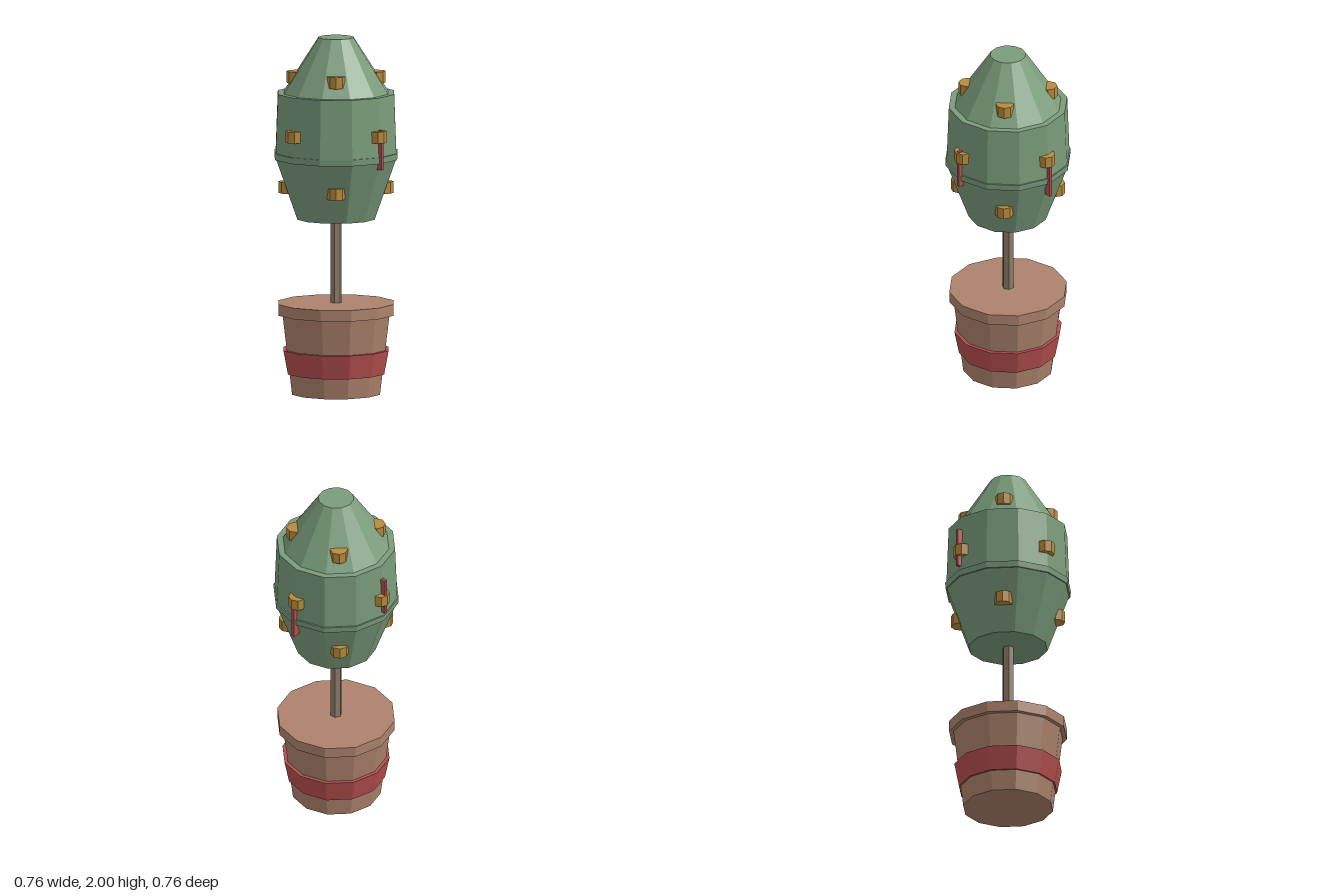
import * as THREE from 'three';

const material = (name, color) => {
  const m = new THREE.MeshStandardMaterial({ color, flatShading: true });
  m.name = name;
  return m;
};

export function createModel() {
  const group = new THREE.Group();
  const leaf = material('leaf green', 0x7a9c7b);
  const clay = material('clay', 0xac826c);
  const red = material('red', 0xb54e4e);
  const bark = material('bark', 0x8c7d69);
  const gold = material('gold', 0xb88b3c);

  // Upright tapered prism between two heights
  const frustum = (name, mat, rBottom, rTop, y0, y1, sides = 12) => {
    const mesh = new THREE.Mesh(new THREE.CylinderGeometry(rTop, rBottom, y1 - y0, sides), mat);
    mesh.name = name;
    mesh.position.y = (y0 + y1) / 2;
    group.add(mesh);
    return mesh;
  };

  // Pot
  frustum('pot', clay, 0.253, 0.308, 0, 0.45);
  frustum('potRim', clay, 0.332, 0.332, 0.447, 0.51);
  frustum('potBand', red, 0.277, 0.303, 0.115, 0.25);

  // Trunk
  frustum('trunk', bark, 0.032, 0.032, 0.5, 1.0, 6).rotation.y = Math.PI / 6;

  // Foliage
  frustum('lowerFoliage', leaf, 0.222, 0.345, 0.982, 1.325);
  frustum('foliageRidge', leaf, 0.352, 0.355, 1.322, 1.358);
  frustum('middleFoliage', leaf, 0.348, 0.335, 1.34, 1.69);
  frustum('upperFoliage', leaf, 0.3, 0.1, 1.69, 2.0);

  // Ornaments: diagonal rings above and below, an axial ring in the middle
  const rings = [
    { y: 1.778, r: 0.226, turn: Math.PI / 4 },
    { y: 1.473, r: 0.328, turn: 0 },
    { y: 1.158, r: 0.269, turn: Math.PI / 4 },
  ];
  for (const { y, r, turn } of rings) {
    for (let i = 0; i < 4; i++) {
      const a = turn + i * Math.PI / 2;
      const o = frustum('ornament', gold, 0.05, 0.05, y - 0.0325, y + 0.0325, 8);
      o.position.x = r * Math.sin(a);
      o.position.z = r * Math.cos(a);
    }
  }

  // Red ribbons at the left, right and back
  const ribbons = [[0.345, 0, 1.4], [-0.347, 0, 1.493], [0, -0.347, 1.36]];
  for (const [x, z, y] of ribbons) {
    const size = x ? [0.04, 0.222, 0.018] : [0.018, 0.222, 0.04];
    const ribbon = new THREE.Mesh(new THREE.BoxGeometry(...size), red);
    ribbon.name = 'ribbon';
    ribbon.position.set(x, y, z);
    group.add(ribbon);
  }

  return group;
}
